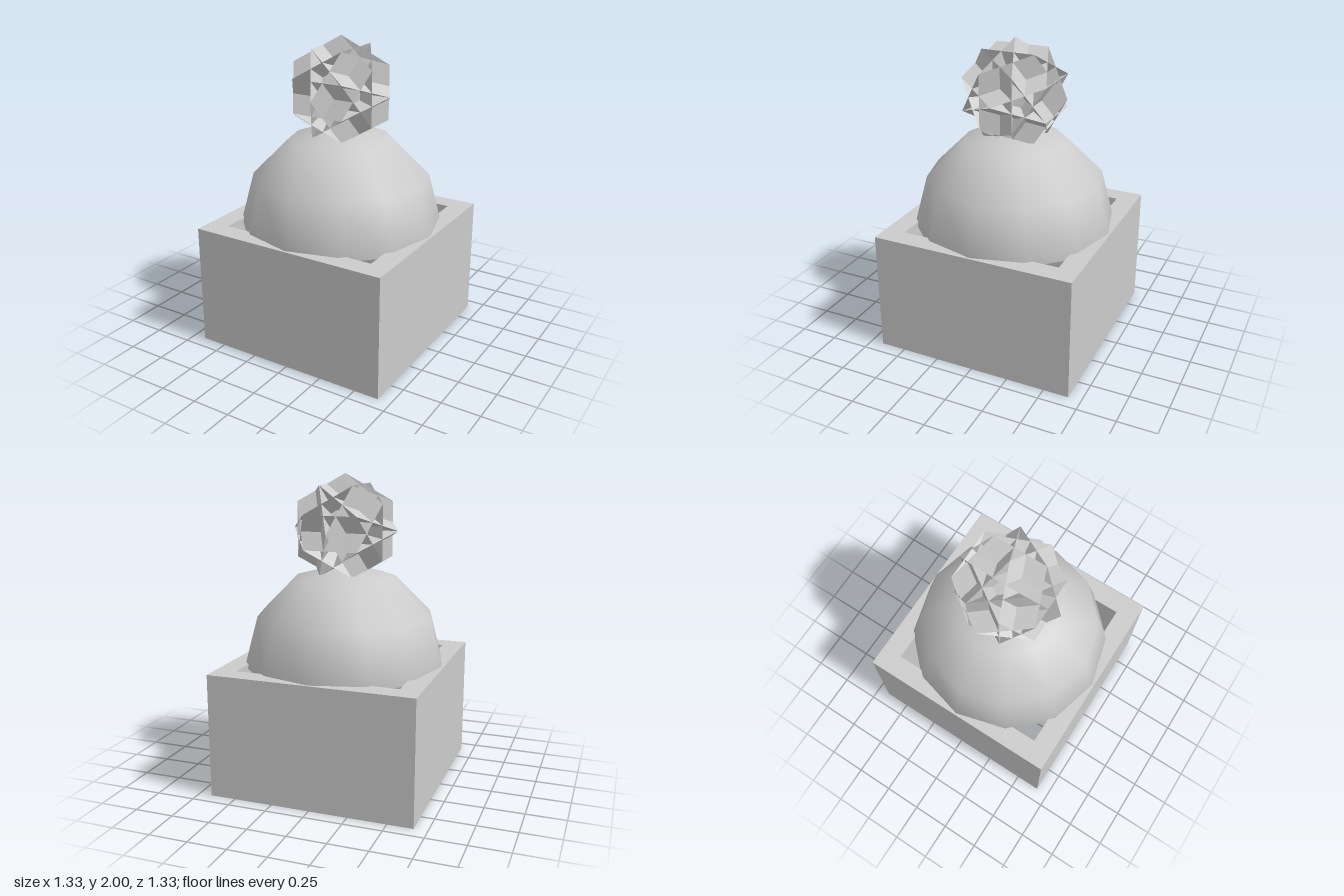
import * as THREE from 'three';

const mat = (opts = {}) => new THREE.MeshStandardMaterial({ color: 0xcccccc, ...opts });

function addMesh(parent, name, geometry, material) {
  const mesh = new THREE.Mesh(geometry, material);
  mesh.name = name;
  parent.add(mesh);
  return mesh;
}

// All sign variants and cyclic permutations of a triple
function spread(a, b, c) {
  const out = [];
  const signs = (v) => (v === 0 ? [0] : [v, -v]);
  for (const x of signs(a)) for (const y of signs(b)) for (const z of signs(c)) {
    out.push(new THREE.Vector3(x, y, z), new THREE.Vector3(z, x, y), new THREE.Vector3(y, z, x));
  }
  return out;
}

// Star polyhedron: 12 pentagons and 10 central hexagons sharing 30 corners
function starGeometry(radius) {
  const phi = (1 + Math.sqrt(5)) / 2;
  const corners = [...spread(1, 0, 0), ...spread(0.5, 0.5 / phi, phi / 2)];
  const pentagonAxes = spread(0, 1, phi).map((v) => v.normalize());
  const hexagonAxes = [
    ...[[1, 1], [1, -1], [-1, 1], [-1, -1]].map(([x, z]) => new THREE.Vector3(x, 1, z)),
    ...spread(1 / phi, 0, phi),
  ].map((v) => v.normalize())
    // keep one axis of each opposite pair
    .filter((v, i, all) => !all.slice(0, i).some((w) => w.dot(v) < -0.999));

  const positions = [];
  const addFace = (axis, distance) => {
    const ring = corners.filter((v) => Math.abs(v.dot(axis) - distance) < 0.01);
    const u = ring[0].clone().addScaledVector(axis, -distance).normalize();
    const w = axis.clone().cross(u);
    const angle = (v) => Math.atan2(v.dot(w), v.dot(u));
    ring.sort((p, q) => angle(p) - angle(q));
    for (let i = 1; i < ring.length - 1; i++) {
      for (const v of [ring[0], ring[i], ring[i + 1]]) {
        positions.push(v.x * radius, v.y * radius, v.z * radius);
      }
    }
  };
  pentagonAxes.forEach((axis) => addFace(axis, 0.5257));
  hexagonAxes.forEach((axis) => addFace(axis, 0));

  const geometry = new THREE.BufferGeometry();
  geometry.setAttribute('position', new THREE.Float32BufferAttribute(positions, 3));
  geometry.computeVertexNormals();
  return geometry;
}

// Square shape or hole outline
function square(Type, half) {
  const path = new Type();
  path.moveTo(-half, -half);
  path.lineTo(half, -half);
  path.lineTo(half, half);
  path.lineTo(-half, half);
  path.closePath();
  return path;
}

export function createModel() {
  const model = new THREE.Group();
  model.name = 'domedBoxWithStar';

  // Square box, open at top and bottom
  const outline = square(THREE.Shape, 0.665);
  outline.holes.push(square(THREE.Path, 0.53));
  const box = new THREE.ExtrudeGeometry(outline, { depth: 0.8, bevelEnabled: false });
  box.rotateX(-Math.PI / 2);
  addMesh(model, 'boxFrame', box, mat());

  // Twelve-sided half dome resting in the opening, closed underneath
  const dome = new THREE.Group();
  dome.name = 'dome';
  dome.position.y = 0.77;
  model.add(dome);
  addMesh(dome, 'domeShell',
    new THREE.SphereGeometry(0.66, 12, 3, 0, Math.PI * 2, 0, Math.PI / 2), mat());
  addMesh(dome, 'domeUnderside', new THREE.CircleGeometry(0.66, 12).rotateX(Math.PI / 2), mat());

  // Faceted star on top
  addMesh(model, 'starFinial', starGeometry(0.35),
    mat({ flatShading: true, side: THREE.DoubleSide })).position.y = 1.65;

  return model;
}
